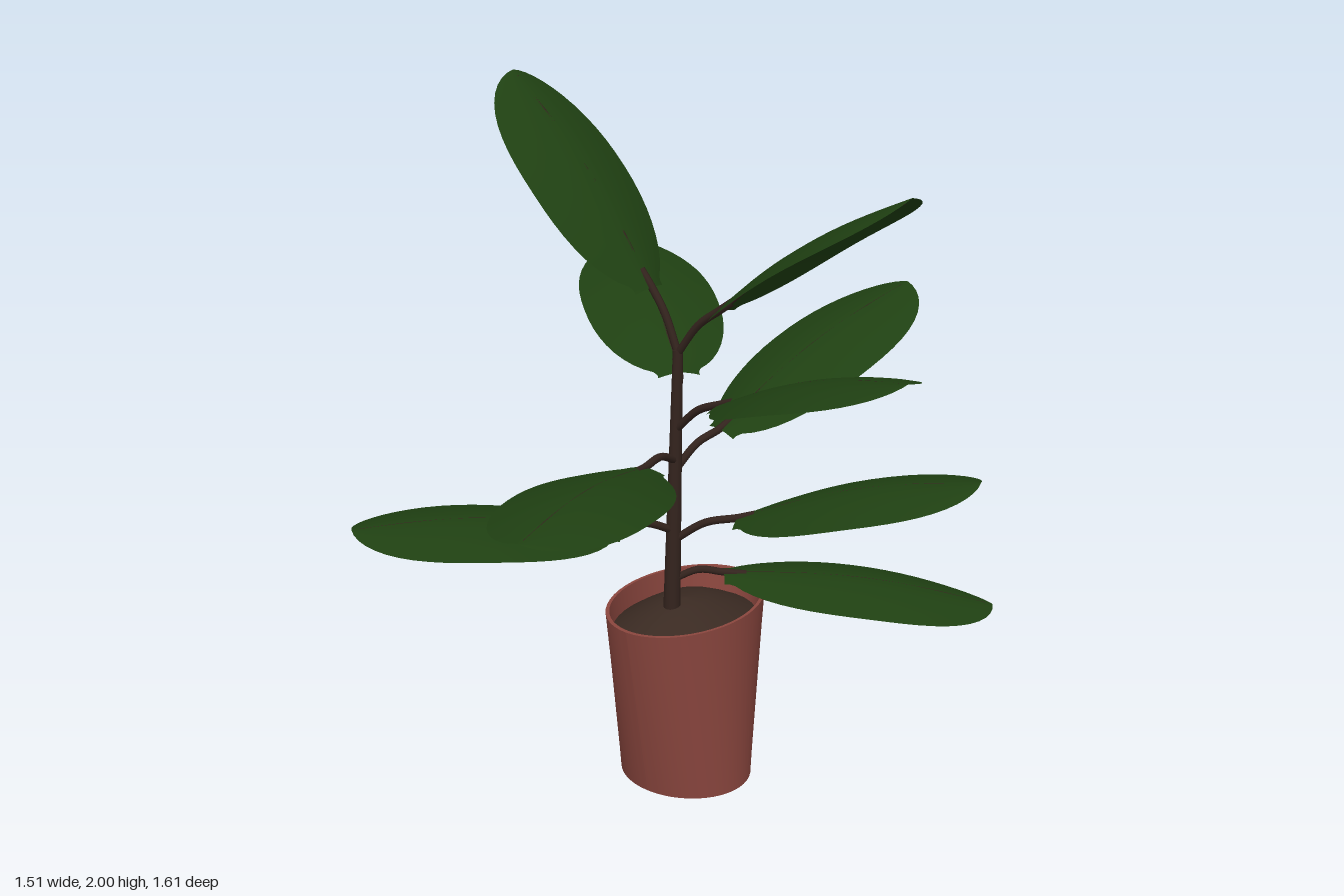
import * as THREE from 'three';

const V = (x, y, z) => new THREE.Vector3(x, y, z);
const mat = (color, extra = {}) => new THREE.MeshStandardMaterial({ color, ...extra });

const POT = mat(0x8a463e, { side: THREE.DoubleSide });
const SOIL = mat(0x3a2a22, { side: THREE.DoubleSide });
const BARK = mat(0x33231d);
const LEAF = mat(0x1f4012, { side: THREE.DoubleSide });

function add(parent, name, geometry, material) {
  const mesh = new THREE.Mesh(geometry, material);
  mesh.name = name;
  parent.add(mesh);
  return mesh;
}

// Stem centre line leans slightly back
const stemAt = (y) => V(-0.09, y, -0.05 - 0.03 * THREE.MathUtils.clamp((y - 0.5) / 0.8, 0, 1));

// Blunt oval blade, widest past the middle, with a small point at the tip
function halfWidth(t, w) {
  const k = 2 * Math.pow(t, 1.05) - 1;
  const oval = Math.pow(Math.max(0, 1 - Math.pow(Math.abs(k), 2.3)), 0.55);
  return w * (t < 0.04 ? Math.max(oval, 0.3) : oval);
}

function makeLeaf({ y, base, tip, w = 0.2 }) {
  const leaf = new THREE.Group();
  leaf.name = 'leaf';
  const a = V(...base), b = V(...tip);
  const dir = b.clone().sub(a).normalize();
  const side = V(0, 1, 0).cross(dir).normalize();
  const up = dir.clone().cross(side);

  const point = (t, u) => {
    const h = halfWidth(t, w);
    const lift = 0.035 * Math.sin(Math.PI * t) - 0.045 * Math.pow(Math.abs(u), 1.6) * (h / w);
    return a.clone().lerp(b, t).addScaledVector(side, h * u).addScaledVector(up, lift);
  };

  // Blade: a grid bent into a gently arched, drooping oval
  const blade = new THREE.PlaneGeometry(1, 1, 8, 24);
  const pos = blade.attributes.position;
  for (let i = 0; i < pos.count; i++) {
    const t = (1 - Math.cos(Math.PI * (pos.getY(i) + 0.5))) / 2;
    const p = point(t, -pos.getX(i) * 2);
    pos.setXYZ(i, p.x, p.y, p.z);
  }
  // Keep the upper face as the front
  blade.computeVertexNormals();
  const n = V(0, 0, 0).fromBufferAttribute(blade.attributes.normal, 9 * 12 + 4);
  if (n.dot(up) < 0) {
    blade.index.array.reverse();
    blade.computeVertexNormals();
  }
  add(leaf, 'blade', blade, LEAF);

  // Petiole from the stem, bending into the blade
  const root = stemAt(y);
  const mid = root.clone().lerp(a, 0.5).add(V(0, 0.02, 0));
  const stalk = new THREE.CatmullRomCurve3([root, mid, a, point(0.08, 0).addScaledVector(up, -0.006)]);
  add(leaf, 'petiole', new THREE.TubeGeometry(stalk, 14, 0.011, 8), BARK);

  // Midrib along the underside
  const rib = [0.05, 0.25, 0.5, 0.75, 0.97].map((t) => point(t, 0).addScaledVector(up, -0.005));
  add(leaf, 'midrib', new THREE.TubeGeometry(new THREE.CatmullRomCurve3(rib), 16, 0.0055, 6), BARK);
  return leaf;
}

// Pot: round tapered wall, stretched in depth towards the rim
function makePot() {
  const wall = new THREE.LatheGeometry(
    [[0, 0], [1, 0], [1, 0], [1, 0.545], [1, 0.545], [0.955, 0.545], [0.955, 0.545], [0.95, 0.44]]
      .map(([x, y]) => new THREE.Vector2(x, y)), 48);
  const pos = wall.attributes.position;
  for (let i = 0; i < pos.count; i++) {
    const t = pos.getY(i) / 0.545;
    pos.setX(i, pos.getX(i) * 0.198);
    pos.setZ(i, pos.getZ(i) * (0.178 + 0.09 * t));
  }
  wall.computeVertexNormals();
  return wall;
}

export function createModel() {
  const plant = new THREE.Group();
  plant.name = 'pottedPlant';

  add(plant, 'pot', makePot(), POT).position.set(-0.088, 0, -0.113);

  // Soil mound
  const soil = new THREE.LatheGeometry(
    [[1, 0.475], [0.85, 0.495], [0.6, 0.525], [0.3, 0.55], [0, 0.556]]
      .map(([x, y]) => new THREE.Vector2(x, y)), 32);
  soil.scale(0.19, 1, 0.24);
  soil.computeVertexNormals();
  add(plant, 'soil', soil, SOIL).position.set(-0.088, 0, -0.11);

  // Stem
  const low = stemAt(0.5), high = stemAt(1.31);
  const stem = add(plant, 'stem',
    new THREE.CylinderGeometry(0.014, 0.025, low.distanceTo(high), 12), BARK);
  stem.position.copy(low).lerp(high, 0.5);
  stem.quaternion.setFromUnitVectors(V(0, 1, 0), high.clone().sub(low).normalize());

  // Leaves: height on the stem, blade base, blade tip, half width
  const leaves = [
    { y: 1.3, base: [-0.18, 1.47, -0.08], tip: [-0.67, 2.0, -0.08], w: 0.19 },
    { y: 1.3, base: [0.05, 1.45, -0.08], tip: [0.64, 1.86, -0.08], w: 0.19 },
    { y: 1.09, base: [-0.18, 1.19, -0.2], tip: [-0.74, 1.38, -0.64] },
    { y: 1.08, base: [0.08, 1.2, -0.05], tip: [0.74, 1.44, 0.06], w: 0.19 },
    { y: 0.96, base: [-0.03, 1.06, -0.19], tip: [0.18, 1.38, -0.8] },
    { y: 0.99, base: [-0.06, 1.03, 0.1], tip: [0.12, 1.1, 0.8] },
    { y: 0.75, base: [0.08, 0.84, -0.13], tip: [0.72, 1.04, -0.35], w: 0.19 },
    { y: 0.78, base: [-0.15, 0.83, 0.12], tip: [-0.58, 0.91, 0.7] },
    { y: 0.63, base: [0.02, 0.65, -0.15], tip: [0.6, 0.53, -0.66], w: 0.18 },
  ];
  for (const spec of leaves) plant.add(makeLeaf(spec));
  return plant;
}
